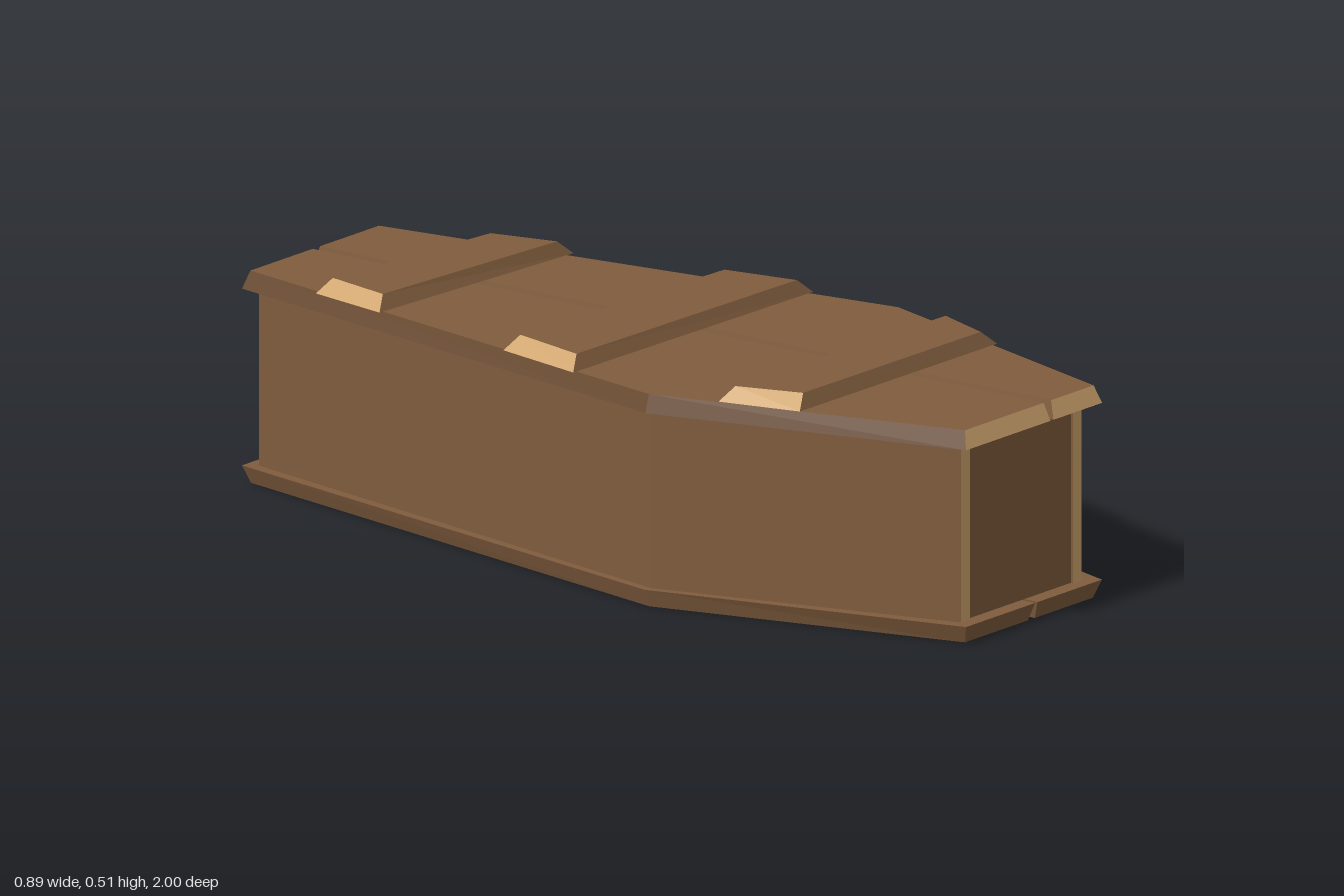
import * as THREE from 'three';

const makeMaterial = (name, color) => {
  const m = new THREE.MeshStandardMaterial({ color });
  m.name = name;
  return m;
};

// Solid between two matching [x, z] rings at heights y0 and y1.
// Rings run back-left, back-right, front-right, front-left; edgeMats picks a material per side.
function loft(lower, upper, y0, y1, edgeMats = []) {
  const pos = [];
  const geo = new THREE.BufferGeometry();
  const lo = lower.map(([x, z]) => [x, y0, z]);
  const up = upper.map(([x, z]) => [x, y1, z]);
  const n = lo.length;
  const face = (pts, mat) => {
    geo.addGroup(pos.length / 3, (pts.length - 2) * 3, mat);
    for (let i = 1; i < pts.length - 1; i++) pos.push(...pts[0], ...pts[i], ...pts[i + 1]);
  };
  face(lo, 0);
  face([...up].reverse(), 0);
  for (let i = 0; i < n; i++) {
    const j = (i + 1) % n;
    face([lo[i], up[i], up[j], lo[j]], edgeMats[i] ?? 0);
  }
  geo.setAttribute('position', new THREE.Float32BufferAttribute(pos, 3));
  geo.computeVertexNormals();
  return geo;
}

export function createModel() {
  const model = new THREE.Group();
  model.name = 'coffin';
  const mats = [
    makeMaterial('brown wood', 0x7f5c3d),
    makeMaterial('end grain', 0xd0a66f),
    makeMaterial('dark wood edge', 0x6b4c32),
  ];
  const add = (name, geo, parent = model) => {
    const mesh = new THREE.Mesh(geo, mats);
    mesh.name = name;
    parent.add(mesh);
  };

  // Half of a six-sided board; inset shrinks it, and the gap runs from gapBack to gapFront
  const half = (side, gapBack, gapFront, inset, gapInset) => {
    const x = (v) => side * (v - inset);
    const z = 1 - inset;
    const gb = gapBack + side * gapInset;
    const gf = gapFront + side * gapInset;
    return side < 0
      ? [[x(0.235), -z], [gb, -z], [gf, z], [x(0.235), z], [x(0.443), 0.28]]
      : [[gb, -z], [x(0.235), -z], [x(0.443), 0.28], [x(0.235), z], [gf, z]];
  };

  // Floor and lid, each of two bevelled planks
  for (const side of [-1, 1]) {
    const label = side < 0 ? 'right' : 'left';
    add(`${label}FloorPlank`, loft(
      half(side, 0.008, 0.008, 0.014, 0.012),
      half(side, 0.008, 0.008, 0, 0.004), 0, 0.04));
    add(`${label}LidPlank`, loft(
      half(side, 0.006, 0.062, 0, 0.005),
      half(side, 0.006, 0.062, 0.013, 0.013), 0.437, 0.477,
      side < 0 ? [1, 0, 1, 2, 2] : [1, 2, 2, 1, 0]));
  }

  // Walls: a long and a short board on each side, then the two end boards
  const body = new THREE.Group();
  body.name = 'body';
  body.position.x = -0.006;
  model.add(body);
  const t = 0.03;
  const wall = (side, xBack, zBack, xFront, zFront) => {
    const a = [side * xBack, zBack], b = [side * (xBack - t), zBack];
    const c = [side * (xFront - t), zFront], d = [side * xFront, zFront];
    return side < 0 ? [a, b, c, d] : [b, a, d, c];
  };
  for (const side of [-1, 1]) {
    const label = side < 0 ? 'right' : 'left';
    const long = wall(side, 0.208, -0.97, 0.418, 0.28);
    const short = wall(side, 0.418, 0.28, 0.208, 0.97);
    add(`${label}LongWall`, loft(long, long, 0.04, 0.435, [1]), body);
    add(`${label}ShortWall`, loft(short, short, 0.04, 0.435, [0, 0, 1]), body);
  }
  for (const [name, z] of [['frontEndBoard', 0.95], ['backEndBoard', -0.95]]) {
    const r = [[-0.18, z - 0.013], [0.18, z - 0.013], [0.18, z + 0.013], [-0.18, z + 0.013]];
    add(name, loft(r, r, 0.04, 0.435), body);
  }

  // Crooked bevelled cross battens on the lid
  const battens = [
    [[-0.28, -0.76], [0.27, -0.71], [0.31, -0.52], [-0.31, -0.56]],
    [[-0.37, -0.17], [0.365, -0.14], [0.4, 0.07], [-0.41, 0.055]],
    [[-0.39, 0.44], [0.385, 0.455], [0.335, 0.63], [-0.34, 0.625]],
  ];
  battens.forEach((ring, i) => {
    const top = ring.map(([x, z], k) => [x - Math.sign(x) * 0.034, z + (k < 2 ? 0.02 : -0.018)]);
    add(`crossBatten${i + 1}`, loft(ring, top, 0.48, 0.511, [0, 1, 0, 1]));
  });

  return model;
}
